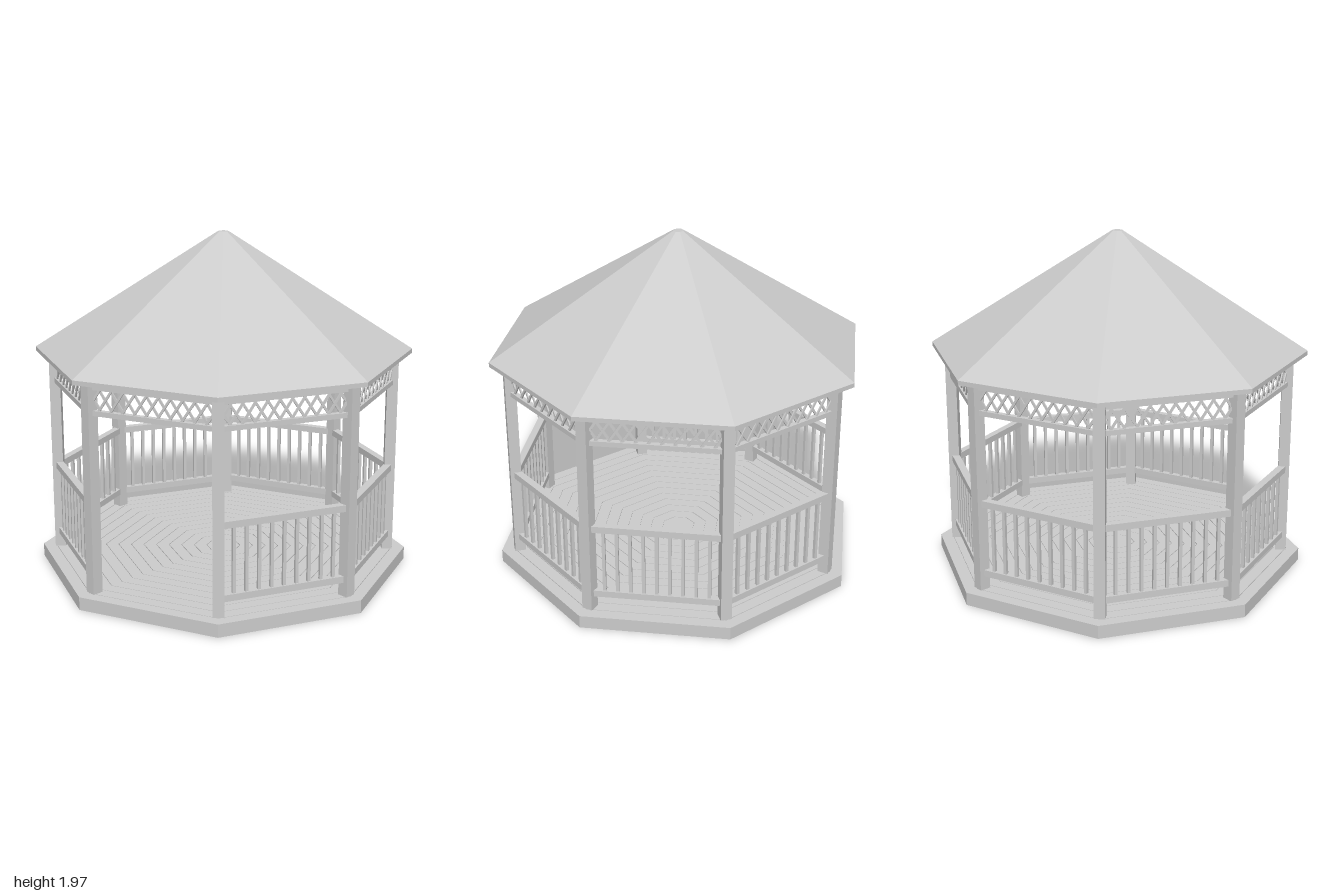
import * as THREE from 'three';

const SIDES = 8;
const STEP = (Math.PI * 2) / SIDES;
const CORNER = 1 / Math.cos(STEP / 2); // apothem -> corner radius
const APOTHEM = 0.9; // centre plane of railings and lattice

const mat = new THREE.MeshStandardMaterial({ color: 0xcccccc, flatShading: true });

// Eight-sided solid from a profile of [apothem, y] points
function octagon(name, profile) {
  const pts = profile.map(([a, y]) => new THREE.Vector2(a * CORNER, y));
  const mesh = new THREE.Mesh(new THREE.LatheGeometry(pts, SIDES, STEP / 2), mat);
  mesh.name = name;
  return mesh;
}

function box(parent, name, w, h, d, x, y, z) {
  const mesh = new THREE.Mesh(new THREE.BoxGeometry(w, h, d), mat);
  mesh.name = name;
  mesh.position.set(x, y, z);
  parent.add(mesh);
  return mesh;
}

// Platform with concentric floorboards separated by fine grooves
function makeFloor() {
  const top = 0.075, groove = 0.07, pitch = 0.07, gap = 0.004;
  const profile = [[0, 0], [1, 0], [1, top]];
  for (let a = 1 - pitch; a > 0.03; a -= pitch) {
    profile.push([a + gap, top], [a + gap, groove], [a, groove], [a, top]);
  }
  profile.push([0, top]);
  return octagon('floor', profile);
}

// Hollow roof shell with a fascia edge and a small flat tip
function makeRoof() {
  return octagon('roof', [
    [0, 1.945], [0.975, 1.27], [1, 1.27], [1, 1.295], [0.028, 1.965], [0, 1.965],
  ]);
}

function makeRailing() {
  const g = new THREE.Group();
  g.name = 'railing';
  box(g, 'handrail', 0.73, 0.038, 0.042, 0, 0.584, APOTHEM);
  box(g, 'bottomRail', 0.73, 0.038, 0.036, 0, 0.173, APOTHEM);
  for (let i = -4; i <= 4; i++) {
    box(g, 'baluster', 0.018, 0.385, 0.018, i * 0.072, 0.378, APOTHEM);
  }
  return g;
}

// Criss-cross strips clipped to the panel between two thin rails
function makeLattice() {
  const g = new THREE.Group();
  g.name = 'lattice';
  box(g, 'latticeTopRail', 0.73, 0.018, 0.03, 0, 1.238, APOTHEM);
  box(g, 'latticeBottomRail', 0.73, 0.028, 0.03, 0, 1.102, APOTHEM);
  const half = 0.345, run = 0.09, rise = 0.135, midY = 1.172, pitch = 0.069;
  for (const dir of [-1, 1]) {
    for (let i = -5; i <= 5; i++) {
      const c = i * pitch;
      const x0 = Math.max(-half, c - run / 2), x1 = Math.min(half, c + run / 2);
      const slope = (dir * rise) / run;
      const dx = x1 - x0, mid = (x0 + x1) / 2;
      const strip = box(g, 'latticeStrip', dx * Math.hypot(1, slope), 0.013, 0.008,
        mid, midY + (mid - c) * slope, APOTHEM + dir * 0.004);
      strip.rotation.z = Math.atan(slope);
    }
  }
  return g;
}

export function createModel() {
  const model = new THREE.Group();
  model.name = 'gazebo';
  model.add(makeFloor(), makeRoof());

  for (let k = 0; k < SIDES; k++) {
    // Corner post, turned to face outward
    const corner = new THREE.Group();
    corner.name = 'corner';
    corner.rotation.y = (k + 0.5) * STEP;
    box(corner, 'post', 0.062, 1.225, 0.062, 0, 0.6825, 0.975);

    // Lattice on every side, railing on all but the front entrance
    const side = new THREE.Group();
    side.name = k === 0 ? 'entranceSide' : 'side';
    side.rotation.y = k * STEP;
    side.add(makeLattice());
    if (k !== 0) side.add(makeRailing());
    model.add(corner, side);
  }
  return model;
}
